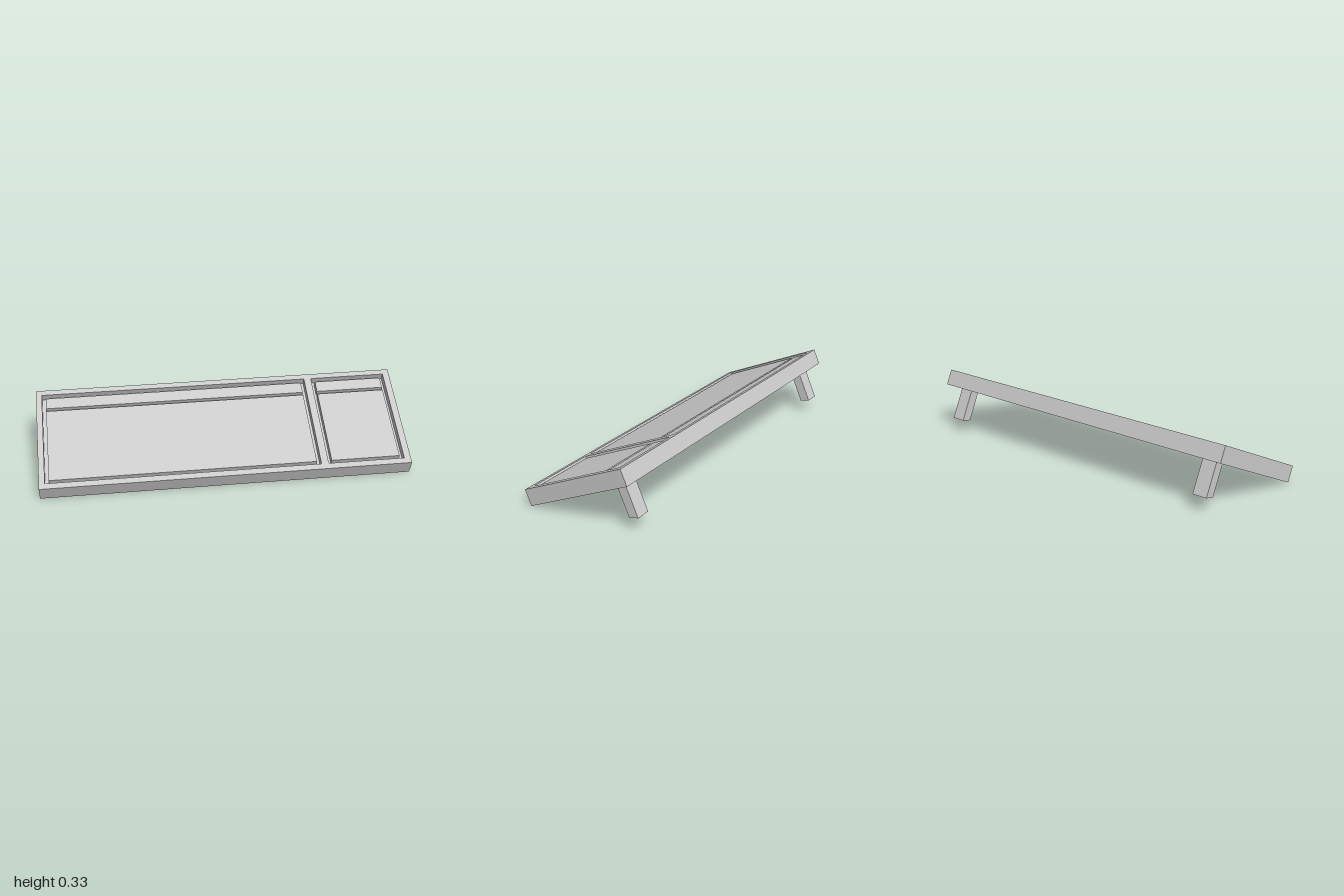
import * as THREE from 'three';

const mat = new THREE.MeshStandardMaterial({ color: 0xcccccc, flatShading: true });
const HALF = 0.952, DEPTH = 0.615, FLOOR = 0.045, TOP = 0.085;

// Rectangle in the keyboard plane: x0..x1 across, d0..d1 measured back from the front edge
function rect(Type, x0, x1, d0, d1) {
  return new Type([[x0, d0], [x1, d0], [x1, d1], [x0, d1]].map(([x, y]) => new THREE.Vector2(x, y)));
}

function slab(name, shape, y0, y1) {
  const geo = new THREE.ExtrudeGeometry(shape, { depth: y1 - y0, bevelEnabled: false });
  geo.rotateX(-Math.PI / 2).translate(0, y0, 0);
  const mesh = new THREE.Mesh(geo, mat);
  mesh.name = name;
  return mesh;
}

export function createModel() {
  const model = new THREE.Group();
  model.name = 'keyboard';

  // Turned sideways and tilted up on its rear feet
  const body = new THREE.Group();
  body.name = 'tiltedBody';
  body.rotation.set(THREE.MathUtils.degToRad(24), THREE.MathUtils.degToRad(19.4), 0, 'YXZ');
  body.position.set(0.0875, 0, 0.249);
  model.add(body);

  // Case: solid base with a rim around two recesses
  body.add(slab('caseBase', rect(THREE.Shape, -HALF, HALF, 0, DEPTH), 0, FLOOR));
  const rim = rect(THREE.Shape, -HALF, HALF, 0, DEPTH);
  const bays = [['main', -0.922, 0.482], ['numpad', 0.52, 0.918]];
  for (const [, x0, x1] of bays) rim.holes.push(rect(THREE.Path, x0, x1, 0.032, 0.585));
  body.add(slab('caseRim', rim, FLOOR, TOP));

  // Key blocks: a large field and a narrow rear row in each recess
  const gap = 0.02;
  for (const [name, x0, x1] of bays) {
    body.add(slab(name + 'KeyField', rect(THREE.Shape, x0 + gap, x1 - gap, 0.052, 0.483), FLOOR, 0.079));
    body.add(slab(name + 'RearKeyRow', rect(THREE.Shape, x0 + gap, x1 - gap, 0.5, 0.565), FLOOR, 0.079));
  }

  // Rear feet with slightly slanted ends
  for (const side of [-1, 1]) {
    const profile = new THREE.Shape([[0.504, 0.01], [0.504, -0.158], [0.554, -0.17], [0.554, 0.01]]
      .map(([d, y]) => new THREE.Vector2(d, y)));
    const geo = new THREE.ExtrudeGeometry(profile, { depth: 0.08, bevelEnabled: false });
    geo.translate(0, 0, -0.04).rotateY(Math.PI / 2);
    const foot = new THREE.Mesh(geo, mat);
    foot.name = side > 0 ? 'leftFoot' : 'rightFoot';
    foot.position.x = side * 0.85;
    body.add(foot);
  }
  return model;
}
